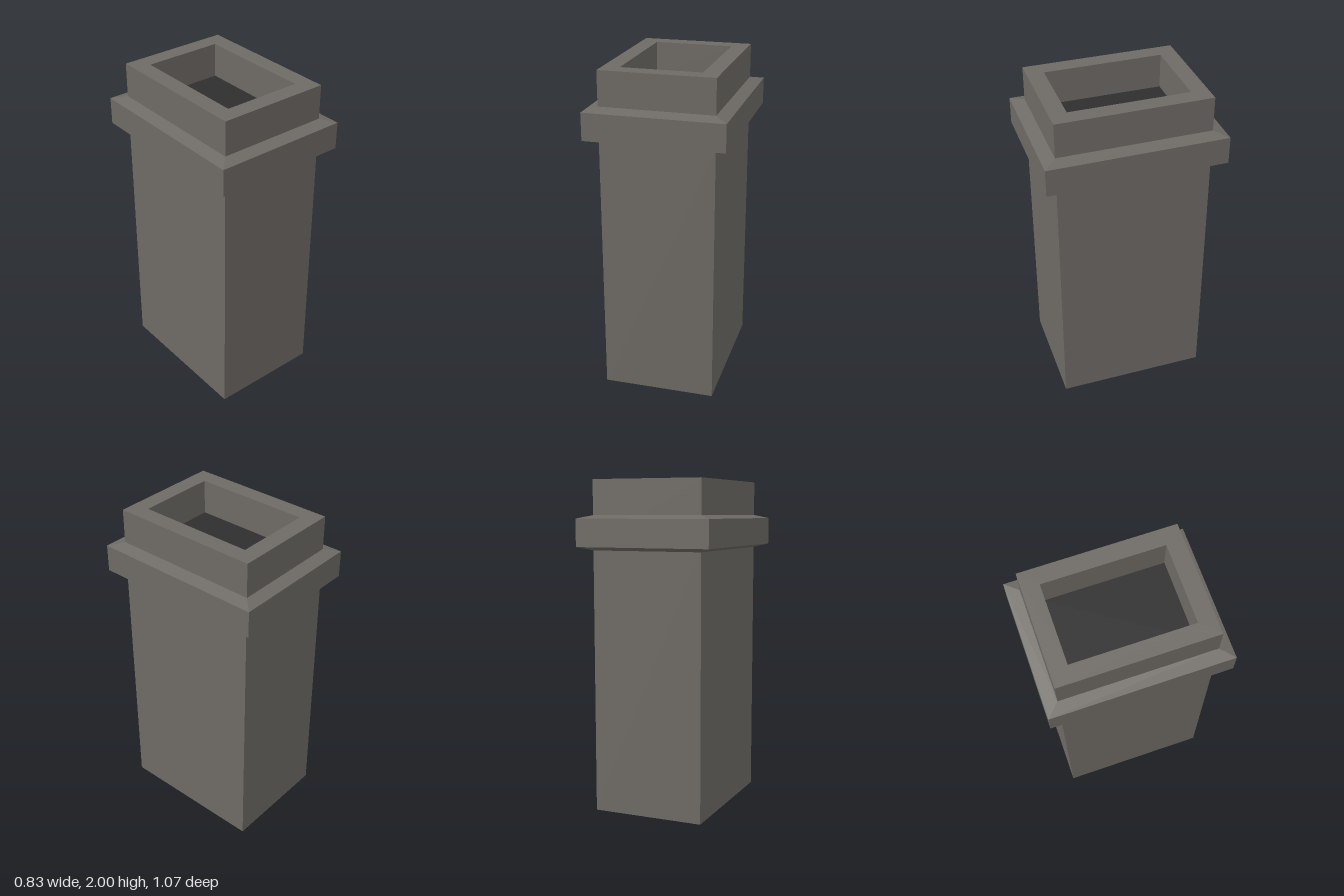
import * as THREE from 'three';

const stone = new THREE.MeshStandardMaterial({ color: 0x6e6a65 });
stone.name = 'warm grey stone';
const soot = new THREE.MeshStandardMaterial({ color: 0x2e2e2e });
soot.name = 'dark soot';

// Joins rectangular rings [halfWidth, halfDepth, y] with flat faces.
function loftRects(name, rings) {
  const signs = [[-1, 1], [1, 1], [1, -1], [-1, -1]];
  const corner = ([hx, hz, y], i) => [signs[i % 4][0] * hx, y, signs[i % 4][1] * hz];
  const positions = [];
  for (let r = 0; r < rings.length - 1; r++) {
    const [a, b] = [rings[r], rings[r + 1]];
    for (let i = 0; i < 4; i++) {
      const quad = [corner(a, i), corner(a, i + 1), corner(b, i + 1), corner(b, i)];
      for (const k of [0, 1, 2, 0, 2, 3]) {
        // A ring of zero size is a point, so its empty triangles are skipped.
        if (a[0] === 0 && k !== 0 && positions.length % 18 === 3) { /* cap corner */ }
        positions.push(...quad[k]);
      }
    }
  }
  const geometry = new THREE.BufferGeometry();
  geometry.setAttribute('position', new THREE.Float32BufferAttribute(positions, 3));
  geometry.computeVertexNormals();
  const mesh = new THREE.Mesh(geometry, stone);
  mesh.name = name;
  return mesh;
}

export function createModel() {
  const group = new THREE.Group();
  group.name = 'chimney';
  const X = 0.342, Z = 0.459;   // shaft half sizes
  const CX = 0.417, CZ = 0.535; // collar half sizes
  const HX = 0.24, HZ = 0.357;  // flue half sizes
  const floorY = 1.79;

  // Shaft with closed underside
  const shaft = new THREE.Mesh(new THREE.BoxGeometry(2 * X, 1.6, 2 * Z), stone);
  shaft.name = 'shaft';
  shaft.position.y = 0.8;
  group.add(shaft);

  // Collar with bevelled top and bottom
  group.add(loftRects('collar', [
    [X, Z, 1.586], [CX, CZ, 1.607], [CX, CZ, 1.772], [X, Z, 1.792],
  ]));

  // Neck: outer walls, rim and inner walls of the flue
  group.add(loftRects('neck', [
    [X, Z, 1.6], [X, Z, 2], [HX, HZ, 2], [HX, HZ, floorY],
  ]));

  // Dark flue floor
  const floor = new THREE.Mesh(new THREE.PlaneGeometry(2 * HX, 2 * HZ), soot);
  floor.name = 'flueFloor';
  floor.rotation.x = -Math.PI / 2;
  floor.position.y = floorY;
  group.add(floor);

  return group;
}
